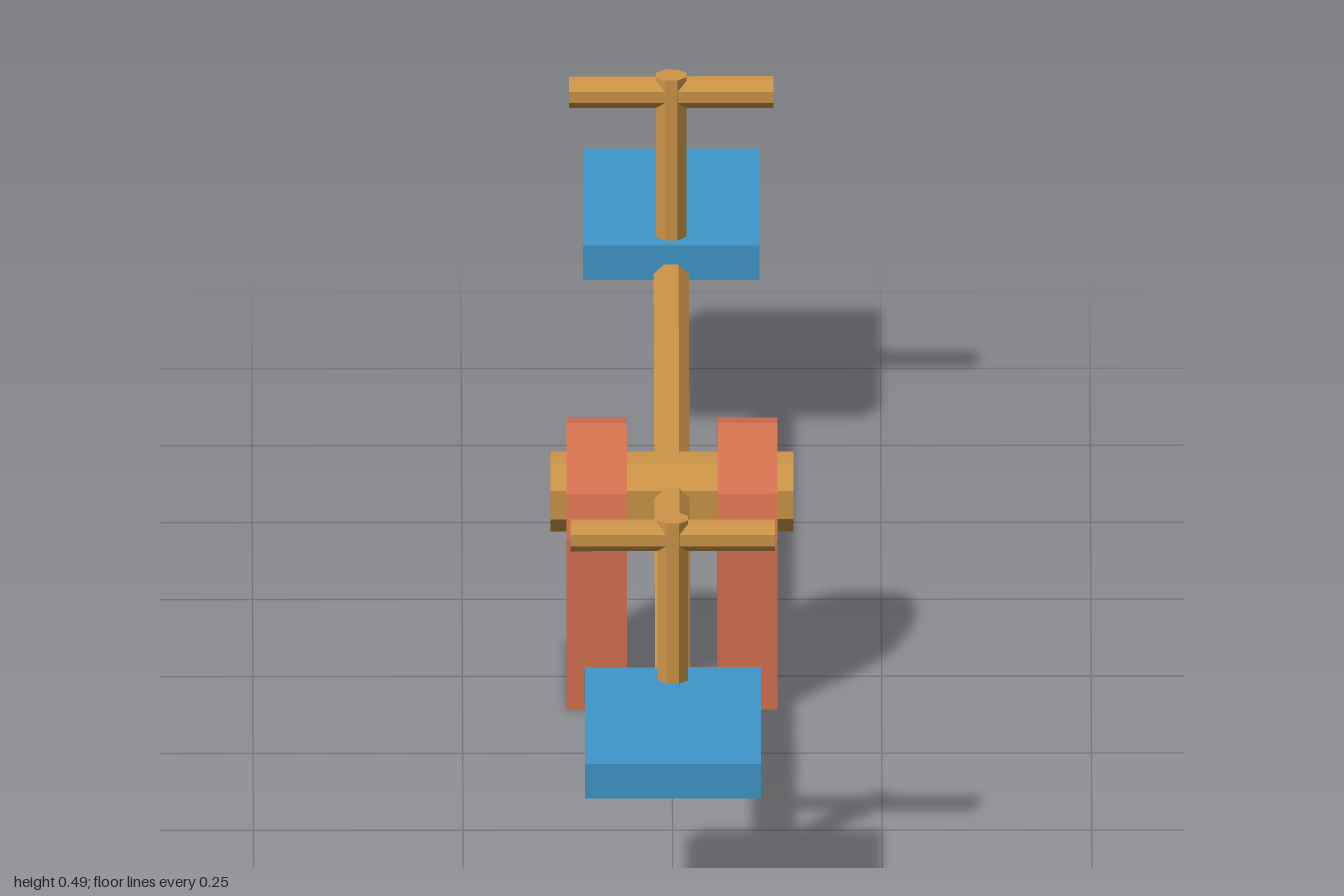
import * as THREE from 'three';

const material = (color) => new THREE.MeshStandardMaterial({ color, flatShading: true });

export function createModel() {
  const model = new THREE.Group();
  model.name = 'seesaw';
  const wood = material(0xcd9448);
  const red = material(0xd5714f);
  const blue = material(0x3f97cb);
  const pivotY = 0.237;

  const add = (name, geometry, mat, x, y, z) => {
    const mesh = new THREE.Mesh(geometry, mat);
    mesh.name = name;
    mesh.position.set(x, y, z);
    model.add(mesh);
    return mesh;
  };

  // Octagonal rod with flats facing its four sides, turned to lie along an axis
  const rod = (apothem, length, axis) => {
    const r = apothem / Math.cos(Math.PI / 8);
    const g = new THREE.CylinderGeometry(r, r, length, 8).rotateY(Math.PI / 8);
    if (axis === 'x') g.rotateZ(Math.PI / 2);
    if (axis === 'z') g.rotateX(Math.PI / 2);
    return g;
  };

  // Plank pole and the axle it rests on
  add('beam', rod(0.021, 1.68, 'z'), wood, 0, pivotY, 0);
  add('axle', rod(0.044, 0.29, 'x'), wood, 0, pivotY, 0);

  // Arched support slabs, one on each side of the beam
  const arch = new THREE.Shape();
  arch.moveTo(-0.108, 0);
  arch.lineTo(0.108, 0);
  for (let i = 0; i <= 6; i++) {
    const a = (i * Math.PI) / 6;
    arch.lineTo(0.108 * Math.cos(a), 0.217 + 0.108 * Math.sin(a));
  }
  const slab = new THREE.ExtrudeGeometry(arch, { depth: 0.072, bevelEnabled: false });
  slab.translate(0, 0, -0.036).rotateY(Math.PI / 2);
  for (const side of [1, -1]) {
    add(side > 0 ? 'leftSupport' : 'rightSupport', slab, red, side * 0.09, 0, 0);
  }

  // Seat, post and handlebar at each end
  for (const end of [1, -1]) {
    const prefix = end > 0 ? 'front' : 'back';
    add(prefix + 'Seat', new THREE.BoxGeometry(0.21, 0.044, 0.315), blue, 0, 0.26, end * 0.8425);
    add(prefix + 'Post', rod(0.018, 0.237, 'y'), wood, 0, 0.3685, end * 0.72);
    add(prefix + 'Handlebar', rod(0.0175, 0.244, 'x'), wood, 0, 0.465, end * 0.72);
  }

  return model;
}
